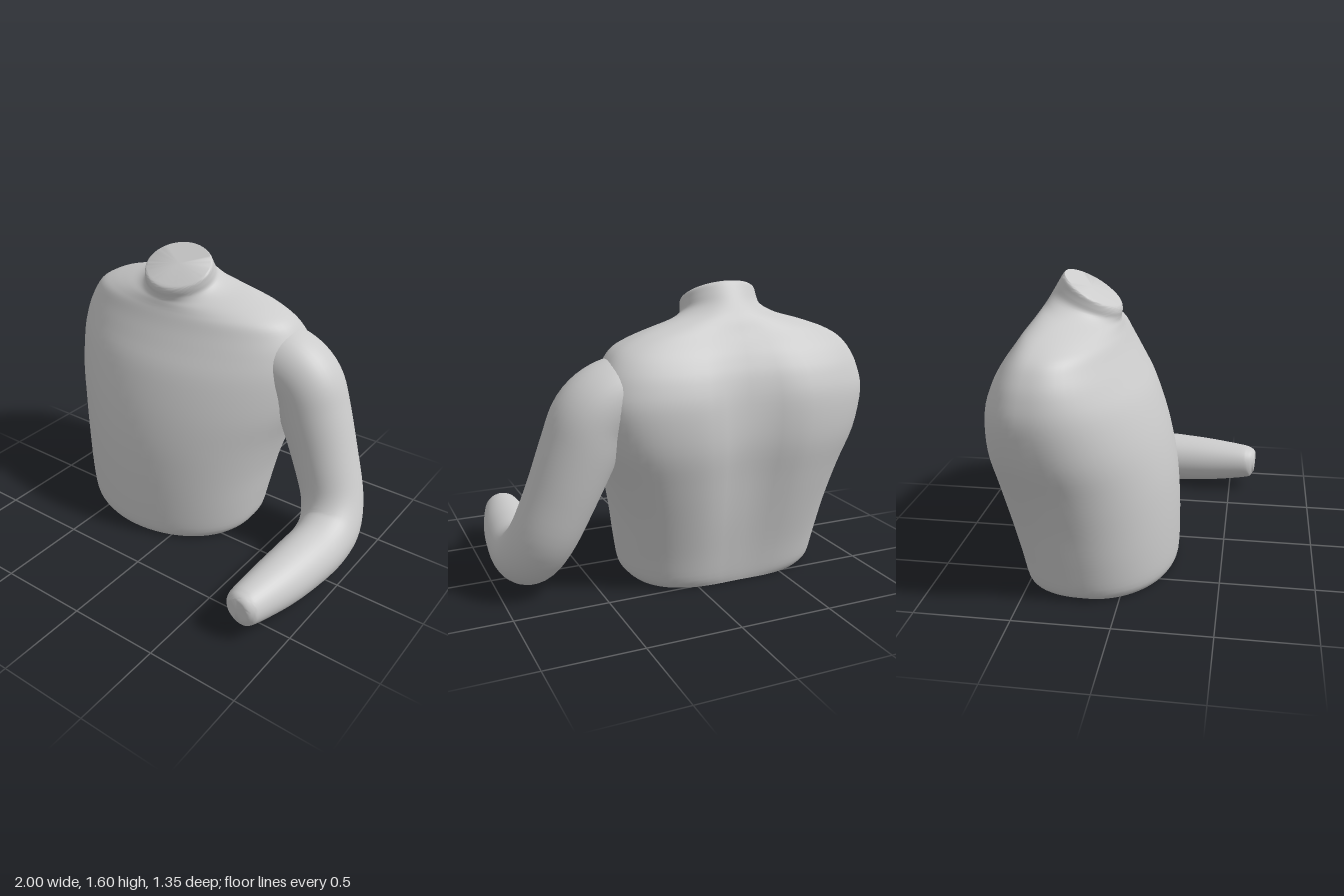
import * as THREE from 'three';
import { toCreasedNormals } from 'three/addons/utils/BufferGeometryUtils.js';

const material = new THREE.MeshStandardMaterial({ color: 0xcccccc, roughness: 0.8 });
const SEGMENTS = 64;

// Smoothly subdivides a table of section values (Catmull-Rom per column).
function subdivide(rows, steps) {
  const out = [];
  const last = rows.length - 1;
  for (let i = 0; i < last; i++) {
    const p0 = rows[Math.max(i - 1, 0)], p1 = rows[i];
    const p2 = rows[i + 1], p3 = rows[Math.min(i + 2, last)];
    for (let s = 0; s < steps; s++) {
      const t = s / steps;
      out.push(p1.map((b, k) => {
        const a = p0[k], c = p2[k], d = p3[k];
        return 0.5 * (2 * b + (c - a) * t + (2 * a - 5 * b + 4 * c - d) * t * t
          + (3 * b - a - 3 * c + d) * t * t * t);
      }));
    }
  }
  out.push(rows[last]);
  return out;
}

// Skins closed rings of points and closes both ends with a fan.
function loft(rings, name) {
  const positions = [], index = [];
  const n = rings[0].length;
  rings.forEach((ring) => ring.forEach((p) => positions.push(p.x, p.y, p.z)));
  for (let r = 0; r < rings.length - 1; r++) {
    for (let i = 0; i < n; i++) {
      const j = (i + 1) % n;
      const a = r * n + i, b = r * n + j, c = a + n, d = b + n;
      index.push(a, c, b, b, c, d);
    }
  }
  [0, rings.length - 1].forEach((r) => {
    const centre = new THREE.Vector3();
    rings[r].forEach((p) => centre.addScaledVector(p, 1 / n));
    const hub = positions.length / 3;
    positions.push(centre.x, centre.y, centre.z);
    for (let i = 0; i < n; i++) {
      const a = r * n + i, b = r * n + (i + 1) % n;
      if (r === 0) index.push(hub, a, b);
      else index.push(hub, b, a);
    }
  });
  const geometry = new THREE.BufferGeometry();
  geometry.setAttribute('position', new THREE.Float32BufferAttribute(positions, 3));
  geometry.setIndex(index);
  const mesh = new THREE.Mesh(toCreasedNormals(geometry, 0.7), material);
  mesh.name = name;
  return mesh;
}

// Torso and neck: sections that tilt toward the slanted neck cut.
function createTorso() {
  const centreX = -0.24;
  // front y, back y, half width, front z, back z, z of widest point, spine groove
  const rows = [
    [0.00, 0.00, 0.51, 0.235, -0.53, -0.16, 0.01],
    [0.05, 0.05, 0.55, 0.255, -0.55, -0.17, 0.02],
    [0.20, 0.20, 0.58, 0.26, -0.58, -0.18, 0.03],
    [0.40, 0.40, 0.615, 0.255, -0.625, -0.21, 0.05],
    [0.60, 0.60, 0.665, 0.235, -0.665, -0.26, 0.07],
    [0.80, 0.80, 0.73, 0.19, -0.695, -0.32, 0.08],
    [1.00, 1.00, 0.76, 0.12, -0.685, -0.36, 0.08],
    [1.13, 1.13, 0.74, 0.05, -0.645, -0.36, 0.06],
    [1.22, 1.22, 0.70, 0.00, -0.595, -0.36, 0.04],
    [1.28, 1.29, 0.645, -0.03, -0.545, -0.35, 0.02],
    [1.31, 1.35, 0.55, -0.045, -0.505, -0.34, 0.01],
    [1.335, 1.40, 0.43, -0.055, -0.47, -0.32, 0],
    [1.355, 1.45, 0.30, -0.062, -0.44, -0.28, 0],
    [1.375, 1.50, 0.225, -0.06, -0.41, -0.24, 0],
    [1.40, 1.55, 0.212, -0.055, -0.38, -0.22, 0],
    [1.425, 1.59, 0.208, -0.06, -0.355, -0.21, 0],
    [1.44, 1.60, 0.195, -0.075, -0.345, -0.21, 0],
  ];
  const rings = subdivide(rows, 4).map(([yF, yB, w, f, b, zc, groove]) => {
    const ring = [];
    for (let i = 0; i < SEGMENTS; i++) {
      const angle = (i / SEGMENTS) * Math.PI * 2;
      const c = Math.cos(angle), s = Math.sin(angle);
      // The back is squarer than the front, except around the neck
      const power = s < 0 && w > 0.3 ? 2 / (2 + Math.min(1, (w - 0.3) * 4)) : 1;
      const x = w * Math.sign(c) * Math.abs(c) ** power;
      const depth = Math.abs(s) ** power;
      let z = s >= 0 ? zc + (f - zc) * depth : zc + (b - zc) * depth;
      if (s < 0) z += groove * Math.exp(-((x / 0.17) ** 2)) * depth;
      const t = (z - f) / (b - f);
      ring.push(new THREE.Vector3(centreX + x, yF + (yB - yF) * t, z));
    }
    return ring;
  });
  return loft(rings, 'torso');
}

// Bent left arm: a round section carried along the arm's centre line.
function createArm() {
  // x, y, z, radius
  const rows = [
    [0.16, 1.07, -0.36, 0.17],
    [0.30, 1.06, -0.36, 0.20],
    [0.43, 1.03, -0.36, 0.205],
    [0.53, 0.95, -0.36, 0.205],
    [0.595, 0.80, -0.355, 0.20],
    [0.69, 0.56, -0.335, 0.185],
    [0.775, 0.35, -0.295, 0.175],
    [0.825, 0.22, -0.20, 0.17],
    [0.84, 0.17, -0.05, 0.16],
    [0.832, 0.165, 0.15, 0.152],
    [0.815, 0.167, 0.36, 0.137],
    [0.79, 0.175, 0.58, 0.108],
    [0.782, 0.18, 0.64, 0.09],
    [0.775, 0.18, 0.668, 0.062],
  ];
  const sections = subdivide(rows, 5);
  const points = sections.map(([x, y, z]) => new THREE.Vector3(x, y, z));
  const normal = new THREE.Vector3(0, 0, 1);
  const last = points.length - 1;
  const rings = points.map((p, k) => {
    const tangent = points[Math.min(k + 1, last)].clone()
      .sub(points[Math.max(k - 1, 0)]).normalize();
    normal.addScaledVector(tangent, -tangent.dot(normal)).normalize();
    const side = new THREE.Vector3().crossVectors(normal, tangent);
    const ring = [];
    for (let i = 0; i < 40; i++) {
      const angle = (i / 40) * Math.PI * 2;
      ring.push(p.clone()
        .addScaledVector(normal, sections[k][3] * Math.cos(angle))
        .addScaledVector(side, sections[k][3] * Math.sin(angle)));
    }
    return ring;
  });
  // Slant the wrist end slightly
  rings.slice(-8).forEach((ring, k) => ring.forEach((q) => {
    q.z -= (q.x - 0.72) * 0.025 * k;
  }));
  return loft(rings, 'leftArm');
}

export function createModel() {
  const group = new THREE.Group();
  group.name = 'bust';
  group.add(createTorso(), createArm());
  return group;
}
